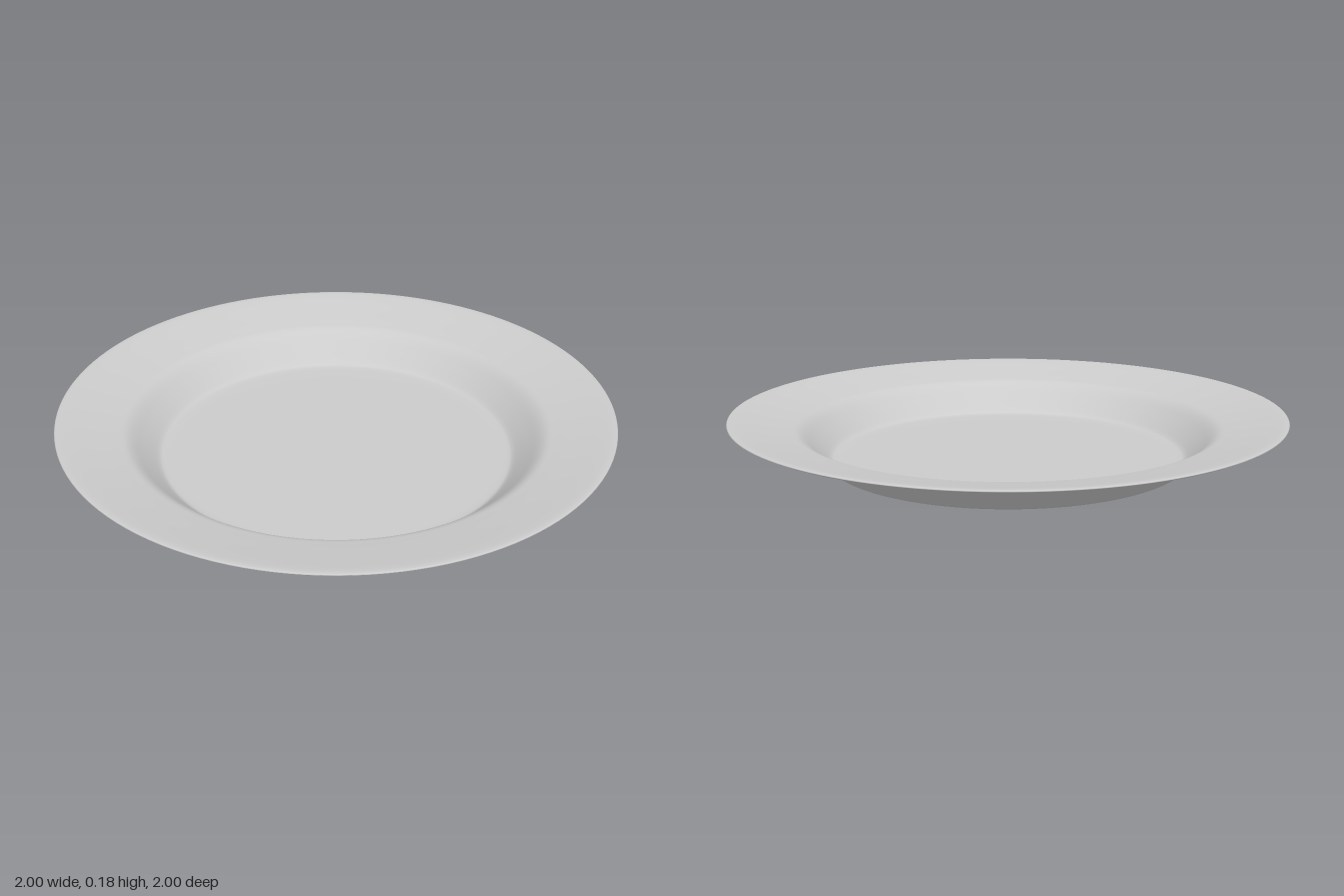
import * as THREE from 'three';

const material = new THREE.MeshStandardMaterial({ color: 0xcccccc });

// Smooth curve through [radius, height] pairs
function smoothProfile(pairs, divisions) {
  const points = pairs.map(([r, y]) => new THREE.Vector3(r, y, 0));
  return new THREE.CatmullRomCurve3(points, false, 'centripetal')
    .getPoints(divisions)
    .map((p) => new THREE.Vector2(Math.max(p.x, 0), Math.max(p.y, 0)));
}

export function createModel() {
  const model = new THREE.Group();
  model.name = 'plate';

  // Underside: flat base, sloping wall, shallow flared rim
  const underside = smoothProfile([
    [0, 0], [0.3, 0], [0.56, 0.001], [0.615, 0.004], [0.642, 0.01], [0.662, 0.026],
    [0.7, 0.062], [0.738, 0.098], [0.76, 0.114], [0.79, 0.123],
    [0.87, 0.138], [0.95, 0.155], [0.985, 0.164], [0.998, 0.17],
  ], 70);

  // Rounded lip
  const lip = [new THREE.Vector2(1, 0.1725), new THREE.Vector2(0.998, 0.175)];

  // Upper side: rim, inner shoulder, wall and eating surface
  const upperSide = smoothProfile([
    [0.994, 0.176], [0.98, 0.1755], [0.95, 0.171], [0.87, 0.156], [0.79, 0.141],
    [0.755, 0.133], [0.73, 0.118], [0.69, 0.08], [0.655, 0.045], [0.642, 0.033],
    [0.631, 0.026], [0.612, 0.023], [0.56, 0.022], [0.3, 0.022], [0, 0.022],
  ], 70);

  const dish = new THREE.Mesh(
    new THREE.LatheGeometry([...underside, ...lip, ...upperSide], 128),
    material
  );
  dish.name = 'dish';
  model.add(dish);

  return model;
}
